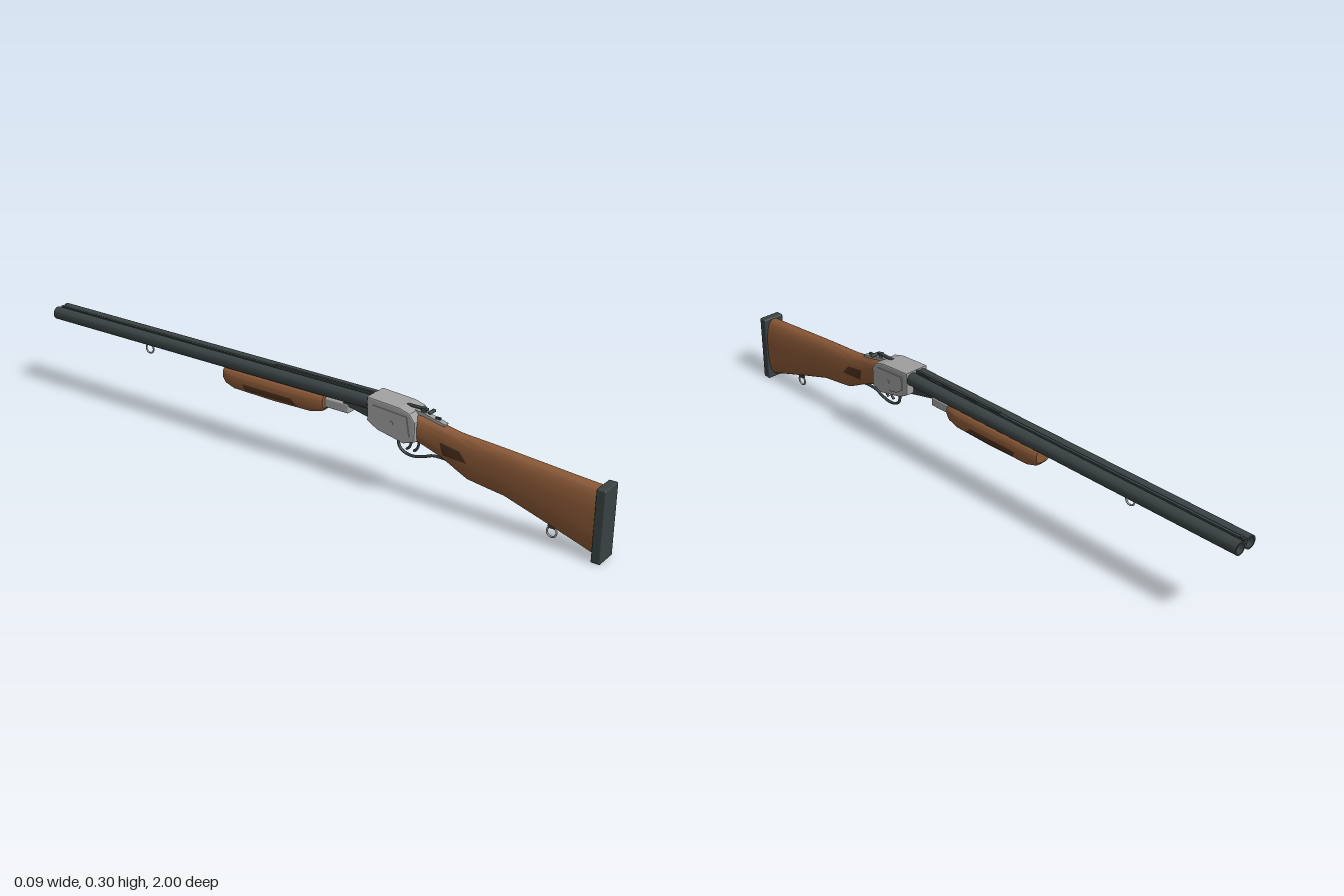
import * as THREE from 'three';
import { toCreasedNormals } from 'three/addons/utils/BufferGeometryUtils.js';
import { RoundedBoxGeometry } from 'three/addons/geometries/RoundedBoxGeometry.js';

const mat = (name, color) => new THREE.MeshStandardMaterial({ name, color });

// Sections are [z, bottom, top, halfWidth], ordered from +z to -z.
function sectionAt(sections, z) {
  for (let i = 0; i < sections.length - 1; i++) {
    const a = sections[i], b = sections[i + 1];
    if (z <= a[0] && z >= b[0]) {
      const t = (a[0] - z) / (a[0] - b[0]);
      return a.map((v, k) => v + (b[k] - v) * t);
    }
  }
  return sections[sections.length - 1];
}

// Closed body through superellipse sections
function loft(sections, power, n = 32) {
  const pos = [], idx = [];
  for (const [z, y0, y1, w] of sections) {
    for (let j = 0; j < n; j++) {
      const t = (j / n) * Math.PI * 2, c = Math.cos(t), s = Math.sin(t);
      pos.push(w * Math.sign(c) * Math.abs(c) ** (2 / power),
        (y0 + y1) / 2 + (y1 - y0) / 2 * Math.sign(s) * Math.abs(s) ** (2 / power), z);
    }
  }
  const last = sections.length - 1;
  for (let i = 0; i < last; i++) for (let j = 0; j < n; j++) {
    const a = i * n + j, b = i * n + (j + 1) % n;
    idx.push(a, a + n, b, b, a + n, b + n);
  }
  for (const i of [0, last]) {
    const c = pos.length / 3, [z, y0, y1] = sections[i];
    pos.push(0, (y0 + y1) / 2, z);
    for (let j = 0; j < n; j++) {
      const a = i * n + j, b = i * n + (j + 1) % n;
      idx.push(c, ...(i === 0 ? [a, b] : [b, a]));
    }
  }
  const g = new THREE.BufferGeometry();
  g.setAttribute('position', new THREE.Float32BufferAttribute(pos, 3));
  g.setIndex(idx);
  return toCreasedNormals(g, 0.6);
}

// Thin panel that follows the side of a lofted body; quad corners are [z, y]
function sidePanel(sections, power, side, [a, b, c, d]) {
  const g = new THREE.PlaneGeometry(1, 1, 12, 4), p = g.attributes.position;
  const mix = (m, n, t) => m + (n - m) * t;
  for (let i = 0; i < p.count; i++) {
    const u = p.getX(i) + 0.5, v = p.getY(i) + 0.5;
    const z = mix(mix(a[0], b[0], u), mix(d[0], c[0], u), v);
    const y = mix(mix(a[1], b[1], u), mix(d[1], c[1], u), v);
    const [, y0, y1, w] = sectionAt(sections, z);
    const k = Math.min(1, Math.abs((y - (y0 + y1) / 2) / ((y1 - y0) / 2)));
    p.setXYZ(i, side * (w * (1 - k ** power) ** (1 / power) + 0.002), y, z);
  }
  g.computeVertexNormals();
  return g;
}

// Side outline of [z, y] points, given thickness across x
function slab(points, halfWidth, bevel = 0) {
  const shape = new THREE.Shape(points.map(([z, y]) => new THREE.Vector2(-z, y)));
  const depth = (halfWidth - bevel) * 2;
  const g = new THREE.ExtrudeGeometry(shape, {
    depth, bevelEnabled: bevel > 0, bevelSize: bevel, bevelOffset: -bevel,
    bevelThickness: bevel, bevelSegments: 2,
  });
  return g.translate(0, 0, -depth / 2).rotateY(Math.PI / 2);
}

export function createModel() {
  const model = new THREE.Group();
  const wood = mat('walnut', 0x8a5836);
  const darkWood = mat('dark checkering', 0x4e301d);
  darkWood.side = THREE.DoubleSide;
  const dark = mat('blued steel', 0x394143);
  const steel = mat('grey steel', 0xa0a0a0);
  const add = (name, geometry, material, x = 0, y = 0, z = 0) => {
    const m = new THREE.Mesh(geometry, material);
    m.name = name;
    m.position.set(x, y, z);
    model.add(m);
    return m;
  };
  const box = (w, h, d) => new THREE.BoxGeometry(w, h, d);
  const tube = (pts, r) => new THREE.TubeGeometry(
    new THREE.CatmullRomCurve3(pts.map(([z, y]) => new THREE.Vector3(0, y, z))), 32, r, 8);

  // Stock and butt plate
  const stock = [
    [0.972, 0.012, 0.217, 0.033], [0.9, 0.036, 0.222, 0.033], [0.8, 0.068, 0.23, 0.031],
    [0.69, 0.102, 0.239, 0.028], [0.62, 0.111, 0.244, 0.027], [0.57, 0.118, 0.247, 0.026],
    [0.535, 0.135, 0.25, 0.025], [0.49, 0.158, 0.258, 0.024], [0.45, 0.173, 0.266, 0.025],
    [0.42, 0.185, 0.272, 0.031], [0.395, 0.19, 0.274, 0.034],
  ];
  add('stock', loft(stock, 2.5), wood);
  add('buttPlate', new RoundedBoxGeometry(0.074, 0.219, 0.028, 2, 0.004), dark, 0, 0.1115, 0.986);

  // Fore-end under the barrels
  const foreEnd = [
    [0.085, 0.212, 0.256, 0.031], [0.075, 0.2, 0.257, 0.034], [0.04, 0.19, 0.258, 0.037],
    [-0.1, 0.187, 0.258, 0.037], [-0.25, 0.19, 0.258, 0.036], [-0.28, 0.2, 0.257, 0.034],
    [-0.29, 0.212, 0.256, 0.031],
  ];
  add('foreEnd', loft(foreEnd, 3), wood);
  add('foreEndIron', new RoundedBoxGeometry(0.034, 0.03, 0.1, 2, 0.005), steel, 0, 0.23, 0.118);

  // Checkered panels on both sides
  for (const s of [-1, 1]) {
    add('gripPanel', sidePanel(stock, 2.5, s,
      [[0.575, 0.176], [0.495, 0.178], [0.485, 0.215], [0.55, 0.206]]), darkWood);
    add('foreEndPanel', sidePanel(foreEnd, 3, s,
      [[-0.005, 0.203], [-0.2, 0.203], [-0.21, 0.222], [-0.025, 0.222]]), darkWood);
  }

  // Side-by-side hollow barrels
  const profile = [[0.0205, 0], [0.0205, 1.25], [0.016, 1.25], [0.016, 0.95], [0, 0.95]]
    .map(([r, h]) => new THREE.Vector2(r, h));
  for (const s of [-1, 1]) {
    const g = new THREE.LatheGeometry(profile, 28).rotateX(-Math.PI / 2);
    add(s > 0 ? 'leftBarrel' : 'rightBarrel', toCreasedNormals(g, 0.6), dark, s * 0.0205, 0.275, 0.25);
  }
  add('topRib', box(0.009, 0.012, 1.25), dark, 0, 0.288, -0.375);
  add('raisedRib', box(0.008, 0.006, 0.36), dark, 0, 0.296, 0.07);
  add('bottomRib', box(0.009, 0.012, 1.22), dark, 0, 0.262, -0.36);
  add('frontBead', new THREE.SphereGeometry(0.004, 12, 8), dark, 0, 0.296, -0.985);
  add('barrelLump', slab([[0.27, 0.26], [0.27, 0.215], [0.24, 0.222], [0.15, 0.242], [0.15, 0.26]], 0.015), dark);

  // Receiver with raised side plates
  add('receiver', slab([
    [0.412, 0.2], [0.375, 0.187], [0.285, 0.206], [0.25, 0.226], [0.25, 0.3],
    [0.36, 0.293], [0.395, 0.283], [0.412, 0.26],
  ], 0.042, 0.004), steel);
  for (const s of [-1, 1]) {
    add('sidePlate', slab([
      [0.395, 0.215], [0.37, 0.203], [0.295, 0.219], [0.272, 0.235], [0.272, 0.28], [0.385, 0.272],
    ], 0.0015), steel, s * 0.0432);
    add('sidePin', new THREE.CylinderGeometry(0.007, 0.007, 0.002, 16).rotateZ(Math.PI / 2),
      steel, s * 0.0452, 0.24, 0.335);
  }

  // Tang and top lever
  add('tang', slab([[0.49, 0.258], [0.39, 0.265], [0.39, 0.286], [0.42, 0.281], [0.49, 0.264]], 0.009), steel);
  add('leverPivot', new THREE.CylinderGeometry(0.008, 0.009, 0.016, 16), dark, 0, 0.286, 0.415);
  add('topLever', new RoundedBoxGeometry(0.01, 0.008, 0.07, 2, 0.003), dark, 0, 0.291, 0.395);
  add('leverThumbPiece', new RoundedBoxGeometry(0.03, 0.009, 0.012, 2, 0.004), dark, 0.009, 0.284, 0.436);
  add('safetyCatch', box(0.007, 0.006, 0.016), dark, 0, 0.274, 0.463);

  // Trigger guard and two triggers
  add('triggerGuard', tube([[0.53, 0.152], [0.49, 0.156], [0.45, 0.155], [0.42, 0.144],
    [0.39, 0.136], [0.36, 0.138], [0.338, 0.152], [0.332, 0.175], [0.334, 0.2]], 0.0045), dark);
  for (const z of [0.37, 0.395]) {
    add('trigger', tube([[z + 0.006, 0.195], [z + 0.006, 0.175], [z, 0.16], [z - 0.009, 0.152]], 0.004), dark);
  }

  // Sling swivels
  for (const [y, z, top] of [[0.035, 0.835, 0.06], [0.232, -0.615, 0.262]]) {
    add('swivelRing', new THREE.TorusGeometry(0.015, 0.0028, 8, 24).rotateY(Math.PI / 2), steel, 0, y, z);
    add('swivelStud', box(0.009, top - y - 0.012, 0.022), dark, 0, (top + y + 0.012) / 2, z);
  }
  return model;
}
